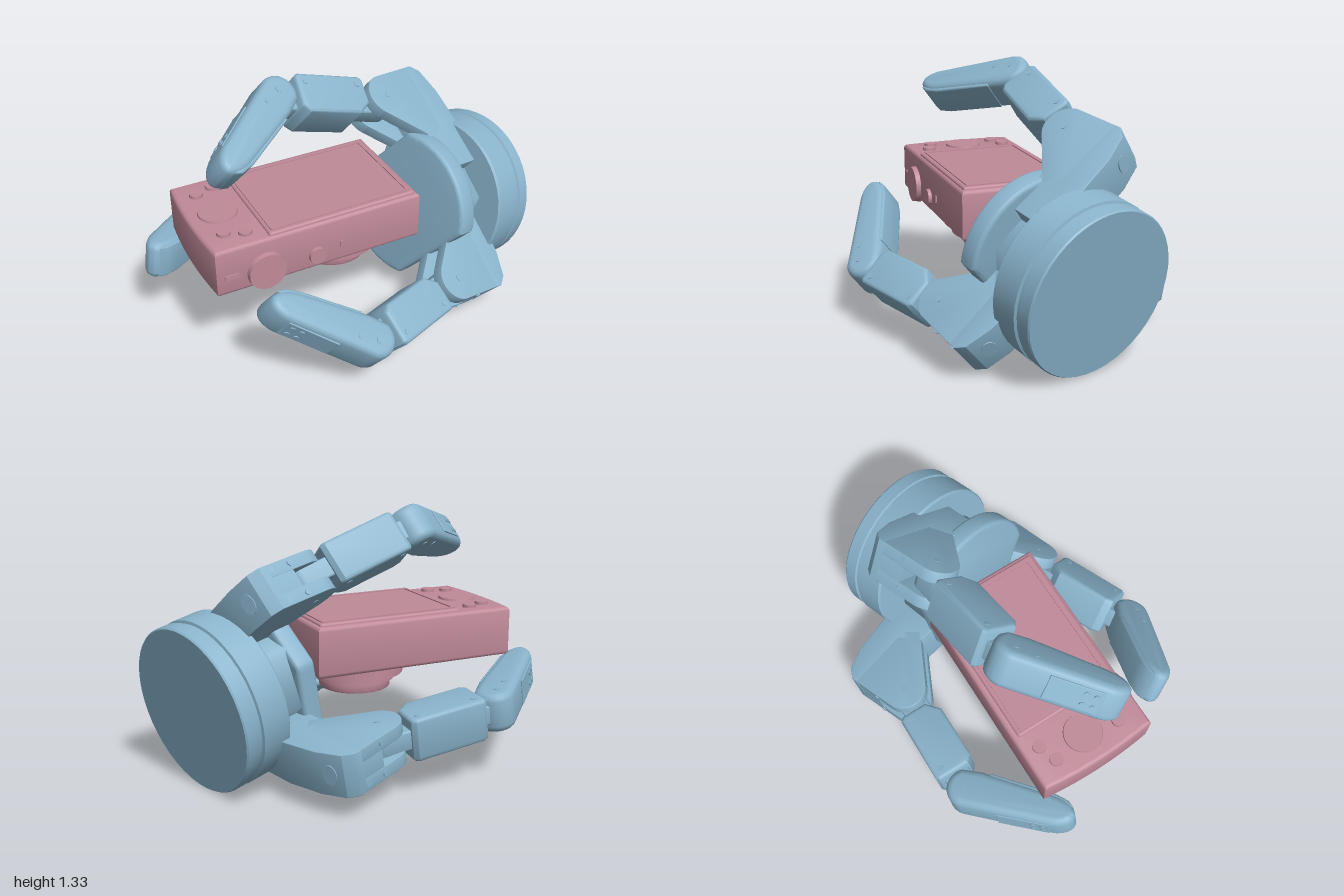
import * as THREE from 'three';
import { toCreasedNormals } from 'three/addons/utils/BufferGeometryUtils.js';
import { RoundedBoxGeometry } from 'three/addons/geometries/RoundedBoxGeometry.js';

const blue = new THREE.MeshStandardMaterial({ color: 0x8ab4cc });
const pink = new THREE.MeshStandardMaterial({ color: 0xc08a99 });
const V = (x, y, z) => new THREE.Vector3(x, y, z);
const wrist = V(0.855, 0.425, -0.152);               // centre of the outer wrist face
const axis = V(0.935, -0.187, -0.3).normalize();     // wrist axis, pointing away from the fingers
const frontHinge = V(0.336, 0.737, 0.586);

function add(parent, name, geometry, material, x = 0, y = 0, z = 0) {
  const mesh = new THREE.Mesh(geometry, material);
  mesh.name = name;
  mesh.position.set(x, y, z);
  parent.add(mesh);
  return mesh;
}

// Group whose x runs along dir, z along the hinge and y to the outside of the finger
function frame(parent, name, origin, dir, hinge) {
  const u = dir.clone().normalize();
  const v = hinge.clone().cross(u).normalize();
  const h = u.clone().cross(v);
  const g = new THREE.Group();
  g.name = name;
  g.quaternion.setFromRotationMatrix(new THREE.Matrix4().makeBasis(u, v, h));
  g.position.copy(origin);
  parent.add(g);
  return g;
}

// Bevelled slab of a flat outline, centred on z = 0
function slab(shape, width, bevel) {
  const geo = new THREE.ExtrudeGeometry(shape, {
    depth: width - 2 * bevel, bevelThickness: bevel, bevelSize: bevel,
    bevelOffset: -bevel, bevelSegments: 3, curveSegments: 14,
  });
  geo.translate(0, 0, bevel - width / 2);
  return toCreasedNormals(geo, 0.6);
}

function polygon(points) {
  return new THREE.Shape(points.map(([x, y]) => new THREE.Vector2(x, y)));
}

function lathe(points, segments = 44) {
  return toCreasedNormals(
    new THREE.LatheGeometry(points.map(([r, y]) => new THREE.Vector2(r, y)), segments), 0.5);
}

// Screw heads on both sides of a link
function sideScrews(g, spots, halfWidth) {
  for (const [x, y] of spots) for (const s of [-1, 1]) {
    add(g, 'screw', new THREE.CylinderGeometry(0.016, 0.016, 0.006, 14), blue, x, y, s * halfWidth)
      .rotation.x = Math.PI / 2;
  }
}

function buildFinger(root, name, j1, j2, tip, hinge) {
  const finger = new THREE.Group();
  finger.name = name;
  root.add(finger);

  // Knuckle: solid rear block with two rounded cheeks forming a fork in front
  const k = frame(finger, 'knuckle', j1, axis.clone().negate(), hinge);
  const cheek = new THREE.Shape();
  cheek.moveTo(0, 0.115);
  cheek.lineTo(-0.24, 0.127);
  for (const [x, y] of [[-0.24, -0.24], [-0.16, -0.3], [-0.05, -0.2], [0.08, -0.083]]) cheek.lineTo(x, y);
  cheek.absarc(0, 0, 0.115, -0.8, Math.PI / 2, false);
  for (const s of [-1, 1]) add(k, 'knuckleCheek', slab(cheek, 0.065, 0.003), blue, 0, 0, s * 0.077);
  const core = polygon([[-0.1, 0.119], [-0.24, 0.126], [-0.24, -0.26], [-0.12, -0.26]]);
  add(k, 'knuckleCore', slab(core, 0.15, 0.001), blue);
  const rear = polygon([[-0.23, 0.127], [-0.27, 0.129], [-0.32, 0.09], [-0.36, -0.04], [-0.378, -0.24],
    [-0.36, -0.48], [-0.1, -0.48], [-0.12, -0.27], [-0.23, -0.2]]);
  add(k, 'knuckleBlock', slab(rear, 0.219, 0.003), blue);
  // Oval boss on the rear face
  const boss = add(k, 'knuckleBore', new THREE.CylinderGeometry(0.036, 0.036, 0.01, 24), blue, -0.342, 0.02, 0);
  boss.rotation.z = Math.PI / 2 - 0.3;
  boss.scale.z = 1.4;
  sideScrews(k, [[0, 0]], 0.109);
  for (const x of [-0.21, -0.1]) for (const z of [-0.08, 0.08])
    add(k, 'screw', new THREE.CylinderGeometry(0.014, 0.014, 0.01, 12), blue, x, 0.121, z);

  // Inner link: chamfered body with a narrow tongue at each end
  const dir = j2.clone().sub(j1);
  const L = dir.length();
  const p = frame(finger, 'innerLink', j1, dir, hinge);
  const a = 0.13, b = L - 0.1;
  const body = polygon([[a, 0.085], [a + 0.02, 0.105], [b - 0.02, 0.105], [b, 0.09],
    [b, -0.08], [b - 0.04, -0.11], [a + 0.07, -0.11], [a, -0.05]]);
  add(p, 'innerLinkBody', slab(body, 0.22, 0.02), blue);
  const tongue = new THREE.Shape();
  tongue.absarc(0, 0, 0.075, Math.PI / 2, Math.PI * 1.5, false);
  tongue.lineTo(L, -0.07);
  tongue.absarc(L, 0, 0.07, -Math.PI / 2, Math.PI / 2, false);
  add(p, 'innerLinkTongue', slab(tongue, 0.1, 0.008), blue);
  sideScrews(p, [[a + 0.05, 0.055], [b - 0.05, 0.055]], 0.11);

  // Fingertip: tapered rounded link, with gripping pad and outer cover
  const tipDir = tip.clone().sub(j2);
  const T = tipDir.length();
  const d = frame(finger, 'fingertip', j2, tipDir, hinge);
  const out = new THREE.Shape();
  out.absarc(0, 0, 0.1, Math.PI / 2, Math.PI * 1.35, false);
  out.lineTo(0.06, -0.1);
  out.lineTo(T - 0.08, -0.08);
  out.quadraticCurveTo(T + 0.03, -0.07, T + 0.05, -0.01);
  out.quadraticCurveTo(T + 0.055, 0.05, T - 0.04, 0.072);
  out.lineTo(0, 0.1);
  add(d, 'fingertipBody', slab(out, 0.2, 0.035), blue);
  const pad = polygon([[0.1, -0.06], [0.1, -0.102], [T - 0.08, -0.088], [T, -0.07], [T + 0.035, -0.04]]);
  add(d, 'fingertipPad', slab(pad, 0.175, 0.01), blue);
  const cover = frame(d, 'fingertipCover', V(T * 0.62, 0.083, 0), V(1, -0.068, 0), V(0, 0, 1));
  add(cover, 'coverPlate', new RoundedBoxGeometry(0.27, 0.01, 0.13, 2, 0.004), blue);
  for (const x of [0.05, 0.1]) for (const z of [-0.03, 0.03])
    add(cover, 'screw', new THREE.CylinderGeometry(0.014, 0.014, 0.012, 12), blue, x, 0.004, z);
  sideScrews(d, [[0, 0.02], [0.1, 0.03]], 0.1);
}

function buildWrist(root) {
  const g = new THREE.Group();
  g.name = 'wrist';
  g.position.copy(wrist);
  g.quaternion.setFromUnitVectors(V(0, 1, 0), axis);
  root.add(g);
  // Drum with a grooved end cap
  add(g, 'wristDrum', lathe([[0, -0.26], [0.415, -0.26], [0.425, -0.25], [0.425, -0.1], [0.412, -0.095],
    [0.412, -0.08], [0.422, -0.075], [0.422, -0.008], [0.416, 0], [0, 0]]), blue);
  add(g, 'neck', new THREE.CylinderGeometry(0.29, 0.3, 0.22, 6), blue, 0, -0.34, 0);

  // Palm: round plate with a flat cut towards each finger
  const palm = frame(root, 'palm', wrist.clone().addScaledVector(axis, -0.495), axis.clone().negate(), frontHinge);
  const flats = [Math.PI / 2, -Math.PI / 2, -0.85];
  const outline = [];
  for (let i = 0; i < 96; i++) {
    const t = (i / 96) * Math.PI * 2;
    const r = Math.min(0.4, ...flats.map((f) => 0.3 / Math.max(Math.cos(t - f), 0.1)));
    outline.push([r * Math.cos(t), r * Math.sin(t)]);
  }
  add(palm, 'palmPlate', slab(polygon(outline), 0.11, 0.02).rotateY(Math.PI / 2), blue);
}

function buildCamera(root) {
  const g = new THREE.Group();
  g.name = 'compactCamera';
  root.add(g);
  // Body with a slightly bowed grip end
  const s = new THREE.Shape();
  s.moveTo(0.257, -0.305);
  s.lineTo(0.257, 0.31);
  s.lineTo(-0.825, 0.31);
  s.quadraticCurveTo(-0.865, 0, -0.825, -0.305);
  const body = slab(s, 0.255, 0.02);
  body.rotateX(Math.PI / 2);
  add(g, 'cameraBody', body, pink, 0, 0.672, 0);
  // Screen with raised frame
  add(g, 'screenPlate', new RoundedBoxGeometry(0.78, 0.03, 0.57, 2, 0.012), pink, -0.155, 0.797, 0.01);
  const bars = [[0.74, 0.016, 0, -0.255], [0.74, 0.016, 0, 0.255], [0.016, 0.51, -0.365, 0], [0.016, 0.51, 0.365, 0]];
  for (const [w, dz, x, z] of bars)
    add(g, 'screenFrame', new THREE.BoxGeometry(w, 0.01, dz), pink, -0.155 + x, 0.812, 0.01 + z);
  // Rear buttons and control pad
  const disc = (r, h) => new THREE.CylinderGeometry(r * 0.95, r, h, 32);
  add(g, 'controlPad', disc(0.1, 0.02), pink, -0.69, 0.801, 0);
  for (const [x, z] of [[-0.73, -0.18], [-0.635, -0.215], [-0.73, 0.18], [-0.635, 0.215]])
    add(g, 'button', disc(0.035, 0.026), pink, x, 0.802, z);
  // Mode dial, shutter and slots on the long edge
  add(g, 'modeDial', disc(0.1, 0.04), pink, -0.575, 0.627, 0.316).rotation.x = Math.PI / 2;
  add(g, 'shutterButton', disc(0.045, 0.03), pink, -0.31, 0.622, 0.313).rotation.x = Math.PI / 2;
  add(g, 'indicator', new THREE.BoxGeometry(0.07, 0.025, 0.012), pink, -0.75, 0.645, 0.311);
  add(g, 'indicator', new THREE.BoxGeometry(0.014, 0.035, 0.012), pink, -0.18, 0.645, 0.311);
  // Stepped lens with a recessed front
  add(g, 'lens', lathe([[0, 0.43], [0.11, 0.43], [0.14, 0.4], [0.18, 0.4], [0.185, 0.41], [0.185, 0.44],
    [0.205, 0.445], [0.205, 0.475], [0.25, 0.48], [0.25, 0.525], [0.29, 0.53], [0.29, 0.55], [0, 0.55]], 48),
  pink, -0.08, 0, 0);
}

export function createModel() {
  const root = new THREE.Group();
  root.name = 'gripperHoldingCamera';
  buildWrist(root);
  buildFinger(root, 'upperFinger', V(0.305, 1.015, -0.235), V(-0.305, 1.22, -0.178),
    V(-0.695, 1.115, 0.145), V(-0.33, -0.77, -0.54));
  buildFinger(root, 'backFinger', V(0.07, 0.293, -0.58), V(-0.56, 0.38, -0.59),
    V(-0.95, 0.45, -0.25), V(-0.18, -0.98, 0.05));
  buildFinger(root, 'frontFinger', V(0.375, 0.253, 0.415), V(-0.21, 0.29, 0.66),
    V(-0.63, 0.552, 0.505), frontHinge);
  buildCamera(root);
  return root;
}
